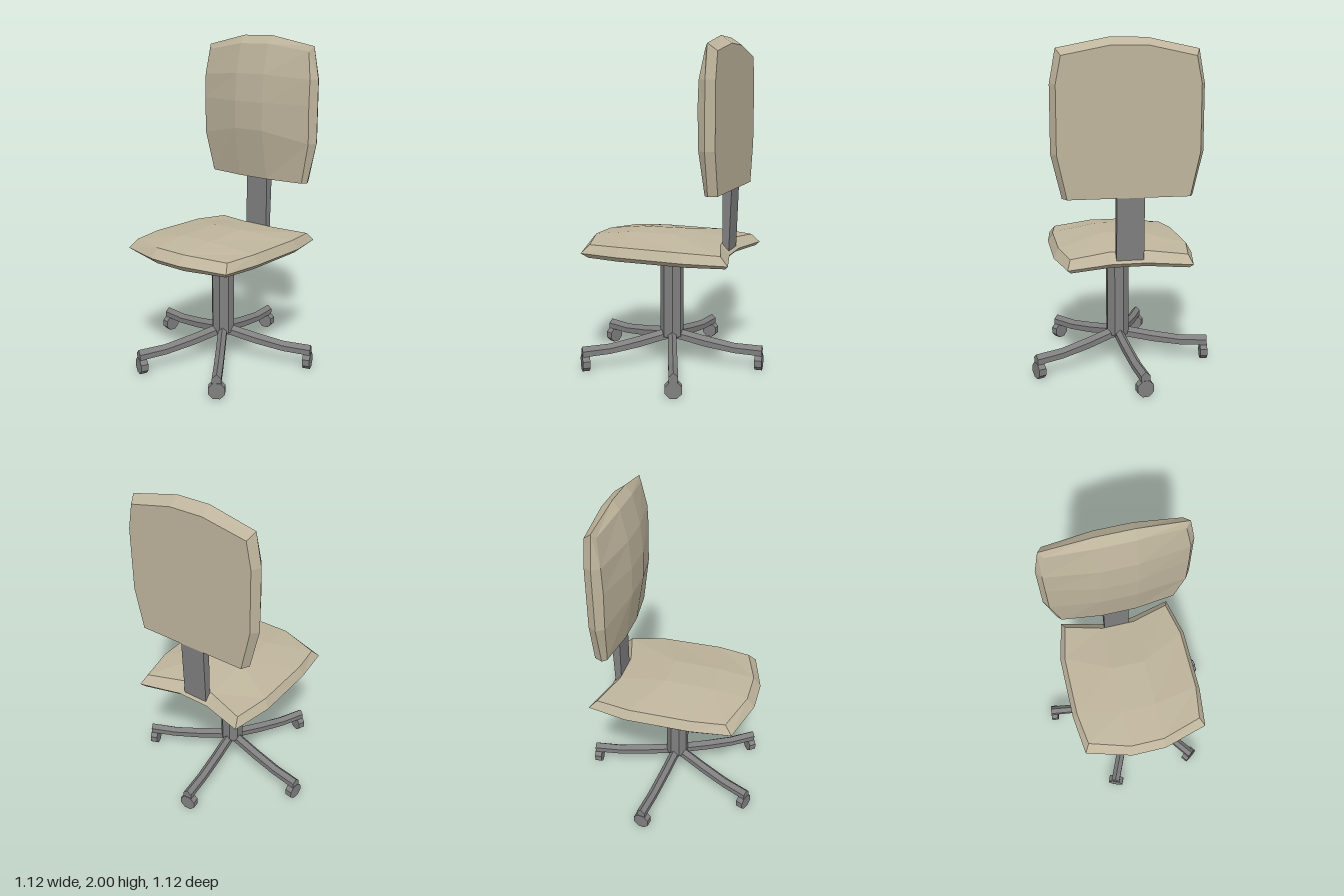
import * as THREE from 'three';

const CX = 0.015; // swivel axis
const fabric = new THREE.MeshStandardMaterial({ color: 0xbfb59d, flatShading: true });
const metal = new THREE.MeshStandardMaterial({ color: 0x808080, flatShading: true });

// Faceted geometry from polygons (fan-triangulated, counter-clockwise corners)
function fromPolygons(polygons) {
  const positions = [];
  for (const p of polygons) {
    for (let k = 1; k < p.length - 1; k++) positions.push(...p[0], ...p[k], ...p[k + 1]);
  }
  const g = new THREE.BufferGeometry();
  g.setAttribute('position', new THREE.Float32BufferAttribute(positions, 3));
  g.computeVertexNormals();
  return g;
}

function addMesh(parent, name, geometry, material) {
  const mesh = new THREE.Mesh(geometry, material);
  mesh.name = name;
  parent.add(mesh);
  return mesh;
}

// Cushion: crowned face, wider rim and flat underside.
// Each row is [half width, length at corner, height at corner, length at middle, height at middle].
function cushion(crown, rim, base, place) {
  const MID = 0.105;
  const n = crown.length - 1;
  const point = (layer, [i, j]) => {
    const [half, lenOut, hOut, lenIn, hIn] = layer[i];
    const x = [-half, -MID, MID, half][j];
    return j % 3 === 0 ? place(x, lenOut, hOut) : place(x, lenIn, hIn);
  };
  const polygons = [];
  for (let i = 0; i < n; i++) {
    for (let j = 0; j < 3; j++) {
      const cell = [[i, j], [i, j + 1], [i + 1, j + 1], [i + 1, j]];
      polygons.push(cell.map(c => point(crown, c)));
      polygons.push(cell.map(c => point(base, c)).reverse());
    }
  }
  // Walk round the outline and join the three layers
  const loop = [];
  for (let j = 0; j < 3; j++) loop.push([0, j]);
  for (let i = 0; i < n; i++) loop.push([i, 3]);
  for (let j = 3; j > 0; j--) loop.push([n, j]);
  for (let i = n; i > 0; i--) loop.push([i, 0]);
  loop.forEach((a, k) => {
    const b = loop[(k + 1) % loop.length];
    for (const [low, high] of [[base, rim], [rim, crown]]) {
      polygons.push([point(low, a), point(low, b), point(high, b), point(high, a)]);
    }
  });
  return fromPolygons(polygons);
}

// Leg along +x: house-shaped section lofted through [radius, bottom, shoulder, ridge]
function legGeometry() {
  const w = 0.027;
  const rings = [
    [0, 0.16, 0.2, 0.225],
    [0.06, 0.155, 0.19, 0.215],
    [0.22, 0.122, 0.158, 0.183],
    [0.4, 0.097, 0.13, 0.153],
    [0.57, 0.091, 0.125, 0.15],
  ].map(([r, b, s, t]) => [[r, b, w], [r, b, -w], [r, s, -w], [r, t, 0], [r, s, w]]);
  const polygons = [rings[0].slice().reverse(), rings[rings.length - 1]];
  for (let i = 0; i < rings.length - 1; i++) {
    for (let k = 0; k < 5; k++) {
      const m = (k + 1) % 5;
      polygons.push([rings[i][k], rings[i][m], rings[i + 1][m], rings[i + 1][k]]);
    }
  }
  return fromPolygons(polygons);
}

export function createModel() {
  const chair = new THREE.Group();
  chair.name = 'swivelChair';

  // Seat, rows from front to back
  const seat = cushion(
    [[0.355, 0.4, 0.795, 0.48, 0.81], [0.385, 0.2, 0.8, 0.26, 0.836],
      [0.385, -0.18, 0.797, -0.03, 0.842], [0.34, -0.4, 0.785, -0.33, 0.8]],
    [[0.385, 0.445, 0.745, 0.527, 0.755], [0.415, 0.2, 0.745, 0.26, 0.75],
      [0.415, -0.2, 0.742, -0.05, 0.745], [0.36, -0.45, 0.735, -0.385, 0.74]],
    [[0.355, 0.41, 0.715, 0.48, 0.715], [0.385, 0.2, 0.715, 0.26, 0.715],
      [0.385, -0.2, 0.715, -0.05, 0.715], [0.34, -0.43, 0.715, -0.36, 0.715]],
    (x, len, h) => [x + CX, h, len]);
  addMesh(chair, 'seat', seat, fabric);

  // Backrest, rows from bottom to top
  const B = -0.385;
  const backrest = cushion(
    [[0.35, 1.12, -0.31, 1.12, -0.28], [0.405, 1.37, -0.29, 1.43, -0.228],
      [0.405, 1.6, -0.285, 1.6, -0.225], [0.405, 1.75, -0.29, 1.77, -0.238],
      [0.375, 1.91, -0.315, 1.95, -0.28]],
    [[0.375, 1.12, -0.335, 1.12, -0.32], [0.435, 1.37, -0.335, 1.43, -0.32],
      [0.435, 1.6, -0.335, 1.6, -0.32], [0.435, 1.75, -0.335, 1.77, -0.32],
      [0.4, 1.94, -0.335, 2, -0.32]],
    [[0.35, 1.12, B, 1.12, B], [0.405, 1.37, B, 1.43, B], [0.405, 1.6, B, 1.6, B],
      [0.405, 1.75, B, 1.77, B], [0.375, 1.9, B, 1.955, B]],
    (x, len, h) => [x + CX, len, h]);
  addMesh(chair, 'backrest', backrest, fabric);

  // Flat upright, slightly deeper at the top
  const upright = new THREE.BoxGeometry(0.16, 0.38, 0.04);
  const p = upright.attributes.position;
  for (let i = 0; i < p.count; i++) {
    if (p.getY(i) > 0 && p.getZ(i) < 0) p.setZ(i, -0.033);
  }
  addMesh(chair, 'backUpright', upright, metal).position.set(0.007, 0.94, -0.35);

  // Octagonal column
  const column = new THREE.CylinderGeometry(0.072, 0.072, 0.545, 8).rotateY(Math.PI / 8);
  addMesh(chair, 'column', column, metal).position.set(CX, 0.4475, CX);

  // Five legs, each with a castor
  const leg = legGeometry();
  const wheel = new THREE.CylinderGeometry(0.052, 0.052, 0.045, 8)
    .rotateY(Math.PI / 8).rotateZ(Math.PI / 2);
  for (let k = -2; k <= 2; k++) {
    const arm = new THREE.Group();
    arm.name = 'legWithCastor';
    arm.position.set(CX, 0, CX);
    arm.rotation.y = THREE.MathUtils.degToRad(96.5 + 75 * k);
    addMesh(arm, 'leg', leg, metal);
    addMesh(arm, 'castor', wheel, metal).position.set(0.55, 0.048, 0);
    chair.add(arm);
  }
  return chair;
}
